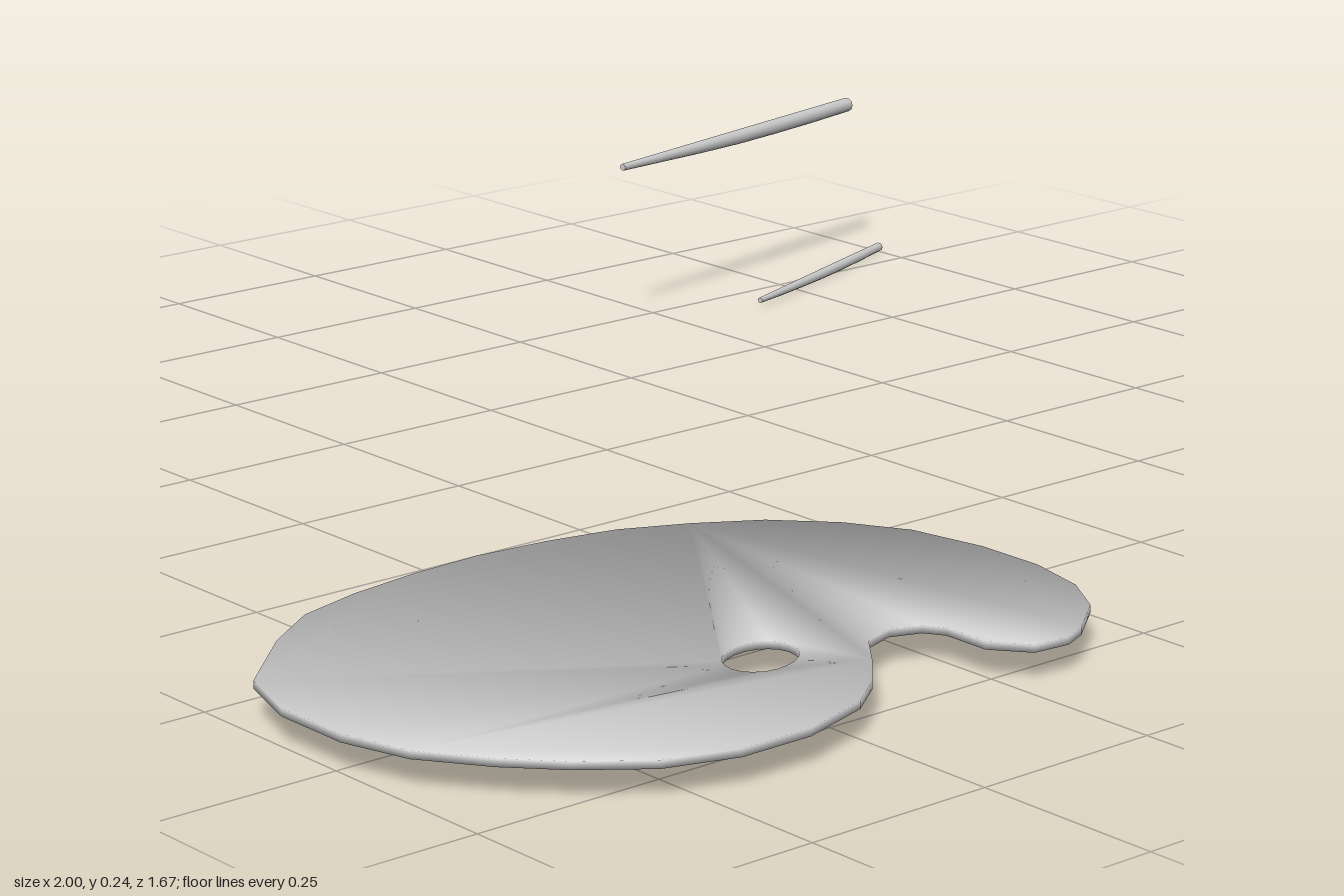
import * as THREE from 'three';
import { mergeVertices } from 'three/addons/utils/BufferGeometryUtils.js';

const material = () => new THREE.MeshStandardMaterial({ color: 0xcccccc });

// Palette outline as x, z pairs
const OUTLINE = [
  [-0.5, 0.11], [-0.6, 0.115], [-0.7, 0.13], [-0.79, 0.155], [-0.87, 0.21], [-0.97, 0.305],
  [-1, 0.4], [-1, 0.51], [-0.975, 0.6], [-0.92, 0.68], [-0.865, 0.74], [-0.79, 0.8],
  [-0.7, 0.83], [-0.6, 0.83], [-0.5, 0.8], [-0.445, 0.76], [-0.395, 0.705], [-0.355, 0.655],
  [-0.31, 0.64], [-0.27, 0.655], [-0.255, 0.68], [-0.255, 0.745], [-0.22, 0.79], [-0.17, 0.795],
  [-0.135, 0.78], [-0.07, 0.73], [-0.03, 0.665], [-0.01, 0.58], [-0.01, 0.485], [-0.03, 0.38],
  [-0.075, 0.3], [-0.14, 0.23], [-0.22, 0.18], [-0.305, 0.14], [-0.4, 0.12],
];

// Weld all corners and weight normals by corner angle, so the thin rim shades softly
function softenNormals(geometry) {
  geometry.deleteAttribute('uv');
  geometry.deleteAttribute('normal');
  const g = mergeVertices(geometry, 1e-4);
  const pos = g.attributes.position;
  const normals = Array.from({ length: pos.count }, () => new THREE.Vector3());
  const index = g.index.array;
  for (let i = 0; i < index.length; i += 3) {
    const ids = [index[i], index[i + 1], index[i + 2]];
    const [a, b, c] = ids.map((id) => new THREE.Vector3().fromBufferAttribute(pos, id));
    const face = b.clone().sub(a).cross(c.clone().sub(a)).normalize();
    [[a, b, c], [b, c, a], [c, a, b]].forEach(([p, q, r], k) => {
      const angle = q.clone().sub(p).angleTo(r.clone().sub(p));
      normals[ids[k]].addScaledVector(face, angle);
    });
  }
  const flat = normals.flatMap((n) => n.normalize().toArray());
  g.setAttribute('normal', new THREE.Float32BufferAttribute(flat, 3));
  return g;
}

// Thin kidney-shaped board with an oval thumb hole
function makePalette() {
  const shape = new THREE.Shape(OUTLINE.map(([x, z]) => new THREE.Vector2(x, -z)));
  const hole = new THREE.Path();
  hole.absellipse(-0.485, -0.615, 0.056, 0.042, 0, Math.PI * 2, true, 0.45);
  shape.holes.push(hole);
  const geometry = new THREE.ExtrudeGeometry(shape, { depth: 0.01, bevelEnabled: false, curveSegments: 10 });
  geometry.rotateX(-Math.PI / 2);
  geometry.translate(0, 0.036, 0);
  const mesh = new THREE.Mesh(softenNormals(geometry), material());
  mesh.name = 'palette';
  return mesh;
}

// Tapered stick from tip to butt whose upper edge stays level at height top
function makeBrush(name, tip, butt, top, radii) {
  const dx = butt[0] - tip[0];
  const dz = butt[1] - tip[1];
  const length = Math.hypot(dx, dz);
  const steps = radii.length - 1;
  const geometry = new THREE.CylinderGeometry(1, 1, 1, 10, steps);
  const pos = geometry.attributes.position;
  for (let i = 0; i < pos.count; i++) {
    const t = pos.getY(i) + 0.5;
    const r = radii[Math.round(t * steps)];
    pos.setXYZ(i, t * length, pos.getX(i) * r - r, -pos.getZ(i) * r);
  }
  // Point the stick's normals along the new axes
  const nor = geometry.attributes.normal;
  for (let i = 0; i < nor.count; i++) {
    nor.setXYZ(i, nor.getY(i), nor.getX(i), -nor.getZ(i));
  }
  const mesh = new THREE.Mesh(geometry, material());
  mesh.position.set(tip[0], top, tip[1]);
  mesh.rotation.y = -Math.atan2(dz, dx);
  mesh.name = name;
  return mesh;
}

export function createModel() {
  const model = new THREE.Group();
  model.name = 'paletteAndBrushes';
  model.add(
    makePalette(),
    makeBrush('largeBrush', [0.415, -0.715], [0.957, -0.83], 0.245,
      [0.005, 0.007, 0.009, 0.0105, 0.011, 0.011, 0.0105]),
    makeBrush('smallBrush', [0.64, -0.67], [0.998, -0.8], 0.015,
      [0.004, 0.0055, 0.0065, 0.0073, 0.0075, 0.0072, 0.0065]),
  );
  return model;
}
